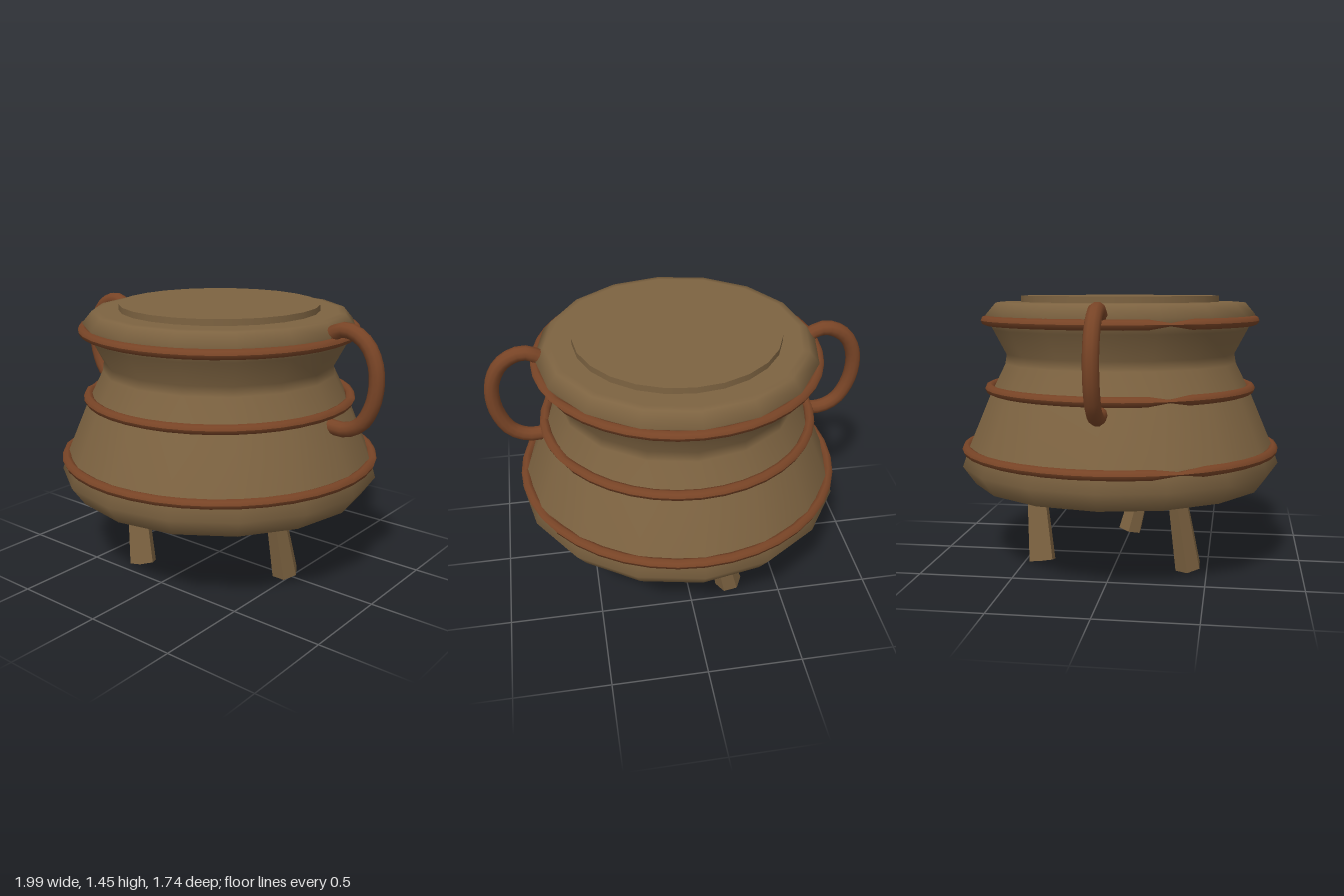
import * as THREE from 'three';

const clay = new THREE.MeshStandardMaterial({ color: 0x7d6341 });
clay.name = 'clay brown';
const facetedClay = clay.clone();
facetedClay.flatShading = true;
const copper = new THREE.MeshStandardMaterial({ color: 0x784426 });
copper.name = 'copper';

function part(name, geometry, material, parent) {
  const mesh = new THREE.Mesh(geometry, material);
  mesh.name = name;
  parent.add(mesh);
  return mesh;
}

// Thin band, squeezed flat at two opposite points
function bandGeometry(radius) {
  const geometry = new THREE.TorusGeometry(radius, 0.026, 8, 40).rotateX(Math.PI / 2);
  const p = geometry.attributes.position;
  const pinch = THREE.MathUtils.degToRad(27);
  for (let i = 0; i < p.count; i++) {
    const angle = Math.atan2(-p.getZ(i), p.getX(i));
    if (Math.abs(Math.sin(angle - pinch)) < 0.05) p.setY(i, p.getY(i) * 0.3);
  }
  geometry.computeVertexNormals();
  return geometry;
}

export function createModel() {
  const model = new THREE.Group();
  model.name = 'cauldron';

  // Body: wide belly, pinched neck, flared rim, closed top
  const profile = [
    [0, 0.405], [0.1, 0.408], [0.77, 0.45], [0.8, 0.457], [0.868, 0.555], [0.83, 0.66],
    [0.715, 0.93], [0.63, 1.1], [0.622, 1.15], [0.69, 1.28], [0.728, 1.36],
    [0.675, 1.422], [0.64, 1.425], [0, 1.425],
  ].map(([r, y]) => new THREE.Vector2(r, y));
  part('body', new THREE.LatheGeometry(profile, 16), clay, model);

  // Lid disc
  const lid = part('lid', new THREE.CylinderGeometry(0.535, 0.535, 0.037, 24), clay, model);
  lid.position.y = 1.439;

  // Bands around the body
  for (const [name, y, radius] of [
    ['lowerBand', 0.64, 0.84], ['middleBand', 0.965, 0.71], ['rimBand', 1.328, 0.725],
  ]) {
    part(name, bandGeometry(radius), copper, model).position.y = y;
  }

  // Loop handles on both sides
  const path = [
    [0.69, 1.36], [0.75, 1.395], [0.82, 1.392], [0.9, 1.34], [0.948, 1.25], [0.96, 1.15],
    [0.94, 1.04], [0.885, 0.945], [0.8, 0.902], [0.7, 0.905],
  ];
  for (const [name, side] of [['leftHandle', 1], ['rightHandle', -1]]) {
    const curve = new THREE.CatmullRomCurve3(path.map(([x, y]) => new THREE.Vector3(side * x, y, 0)));
    const handle = new THREE.Group();
    handle.name = name;
    model.add(handle);
    part('handleLoop', new THREE.TubeGeometry(curve, 20, 0.039, 10), copper, handle);
    // Rounded ends of the loop
    for (const t of [0, 1]) {
      const end = part('handleEnd', new THREE.SphereGeometry(0.039, 10, 6), copper, handle);
      end.position.copy(curve.getPoint(t));
    }
  }

  // Three six-sided legs, each leaning sideways
  const foot = new THREE.Vector3(0.46, 0.022, 0);
  const top = new THREE.Vector3(0.457, 0.412, 0.1);
  const axis = top.clone().sub(foot);
  for (let i = 0; i < 3; i++) {
    const pivot = new THREE.Group();
    pivot.name = 'leg' + (i + 1);
    pivot.rotation.y = -i * Math.PI * 2 / 3;
    model.add(pivot);
    const shape = new THREE.CylinderGeometry(0.054, 0.074, axis.length(), 6, 1, false, Math.PI / 6);
    const leg = part('leg', shape, facetedClay, pivot);
    leg.position.copy(foot).add(top).multiplyScalar(0.5);
    leg.quaternion.setFromUnitVectors(new THREE.Vector3(0, 1, 0), axis.clone().normalize());
  }

  return model;
}
